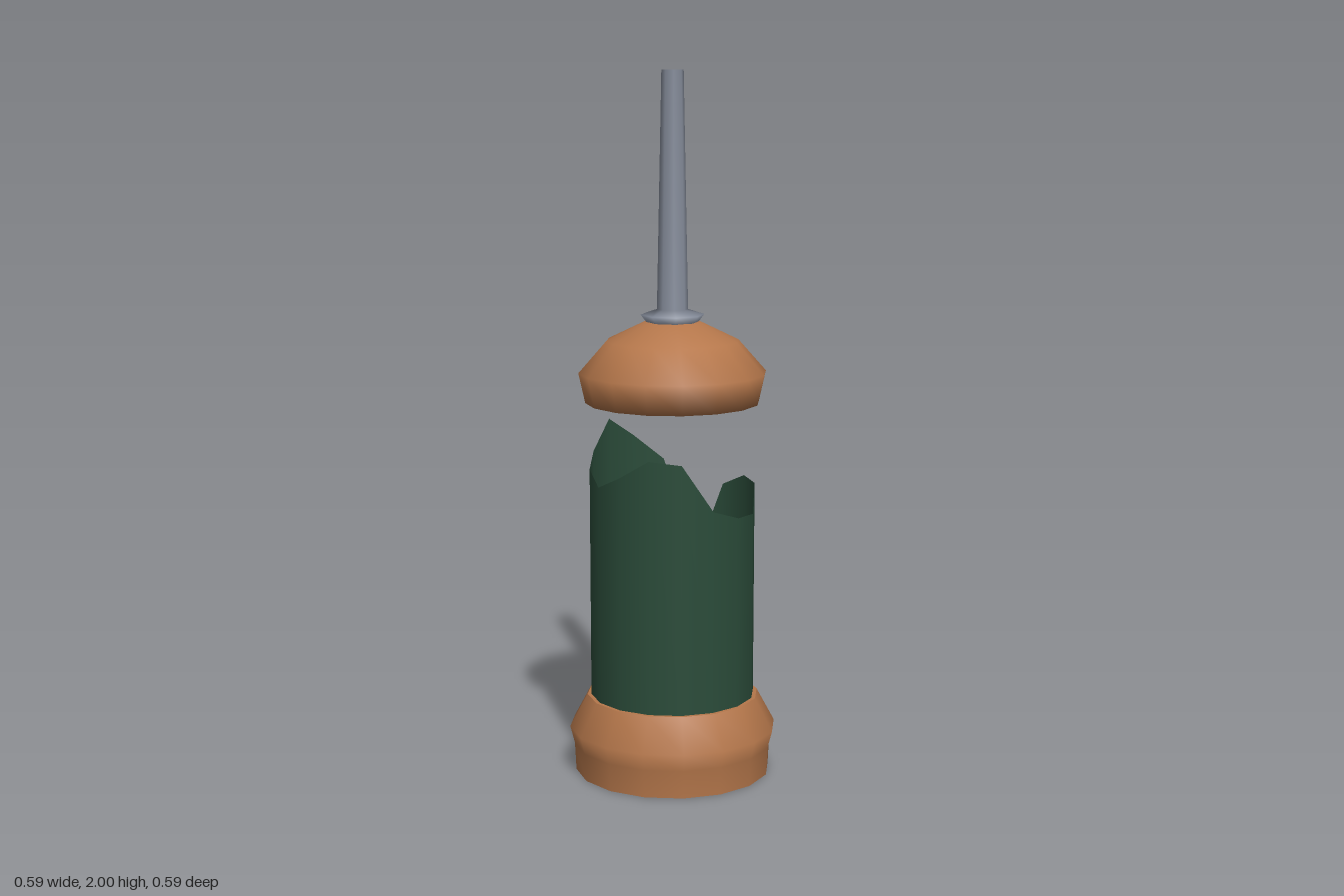
import * as THREE from 'three';

const material = (color) => new THREE.MeshStandardMaterial({ color, side: THREE.DoubleSide });

// Turns a [radius, height] profile, listed from bottom to top
function turned(name, profile, sides, mat, start = 0) {
  const points = profile.map(([r, y]) => new THREE.Vector2(r, y));
  const mesh = new THREE.Mesh(new THREE.LatheGeometry(points, sides, start), mat);
  mesh.name = name;
  return mesh;
}

export function createModel() {
  const group = new THREE.Group();
  group.name = 'brokenLantern';
  const copper = material(0xb5774b);
  const glass = material(0x2b4c3a);
  const metal = material(0x858c9a);

  // Hollow flared base, open underneath
  group.add(turned('base', [[0.28, 0], [0.284, 0.08], [0.297, 0.13], [0.246, 0.225]], 16, copper));

  // Plate closing the top of the base
  const plate = new THREE.Mesh(new THREE.CircleGeometry(0.246, 16), copper);
  plate.name = 'basePlate';
  plate.rotation.x = -Math.PI / 2;
  plate.position.y = 0.225;
  group.add(plate);

  // Broken glass cylinder: jagged rim heights, starting at +z and turning towards +x
  const rim = [0.945, 0.935, 0.8, 0.77, 0.765, 0.835, 0.84, 0.8,
    0.56, 0.865, 0.94, 1.0, 0.92, 0.885, 0.85, 0.89];
  const shell = turned('brokenGlass', [[0.235, 0.222], [0.236, 1]], 16, glass);
  const pos = shell.geometry.attributes.position;
  for (let i = 0; i <= 16; i++) pos.setY(i * 2 + 1, rim[i % 16]);
  group.add(shell);

  // Floating domed cap, closed underneath
  group.add(turned('cap', [[0, 1.075], [0.247, 1.075], [0.266, 1.16], [0.187, 1.25],
    [0.08, 1.302], [0, 1.308]], 16, copper));

  // Collar and tapering hollow rod
  group.add(turned('rod', [[0.07, 1.297], [0.09, 1.323], [0.044, 1.338], [0.031, 2]], 8, metal, Math.PI / 8));

  return group;
}
